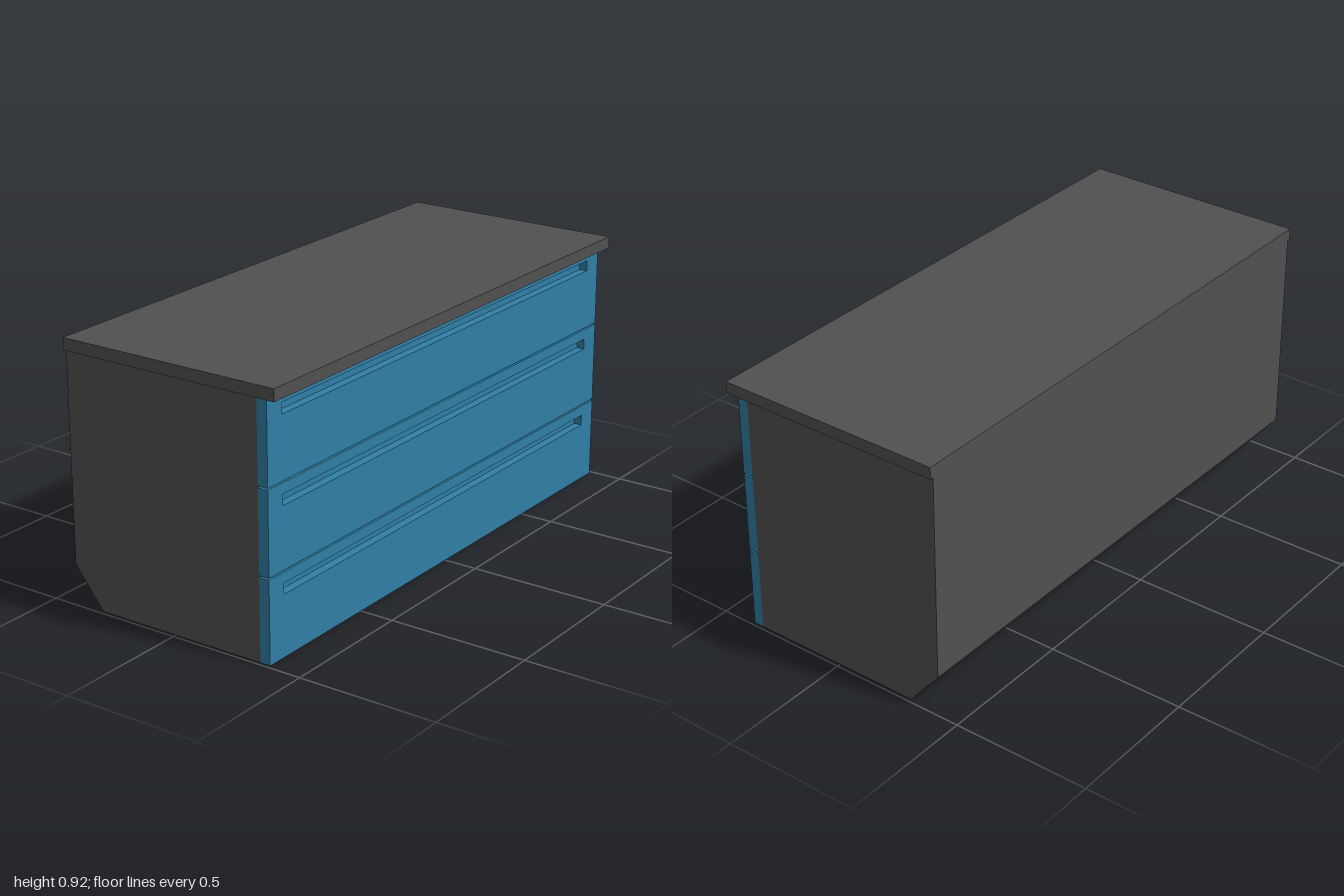
import * as THREE from 'three';

const dark = new THREE.MeshStandardMaterial({ color: 0x505050 });
const blue = new THREE.MeshStandardMaterial({ color: 0x317fa5 });

function box(name, x0, x1, y0, y1, length, material) {
  const mesh = new THREE.Mesh(new THREE.BoxGeometry(x1 - x0, y1 - y0, length), material);
  mesh.position.set((x0 + x1) / 2, (y0 + y1) / 2, 0);
  mesh.name = name;
  return mesh;
}

function rectangle(path, w, y0, y1) {
  path.moveTo(-w, y0);
  path.lineTo(w, y0);
  path.lineTo(w, y1);
  path.lineTo(-w, y1);
  path.closePath();
  return path;
}

// Drawer front: a slotted face on a thin backing, so the grip is a recess
function drawer(name, y0, y1, slotY) {
  const group = new THREE.Group();
  group.name = name;
  const shape = rectangle(new THREE.Shape(), 0.988, y0, y1);
  shape.holes.push(rectangle(new THREE.Path(), 0.912, slotY, slotY + 0.038));
  const geometry = new THREE.ExtrudeGeometry(shape, { depth: 0.03, bevelEnabled: false });
  geometry.rotateY(Math.PI / 2);
  const face = new THREE.Mesh(geometry, blue);
  face.position.x = 0.348;
  face.name = name + 'Face';
  group.add(face, box(name + 'Backing', 0.34, 0.348, y0, y1, 1.976, blue));
  return group;
}

export function createModel() {
  const model = new THREE.Group();
  model.name = 'drawerCabinet';

  // Cabinet body with a chamfered lower rear edge
  const profile = new THREE.Shape([
    [-0.303, 0], [0.34, 0], [0.34, 0.88], [-0.416, 0.88], [-0.416, 0.14],
  ].map(([x, y]) => new THREE.Vector2(x, y)));
  const bodyGeometry = new THREE.ExtrudeGeometry(profile, { depth: 1.976, bevelEnabled: false });
  bodyGeometry.translate(0, 0, -0.988);
  const body = new THREE.Mesh(bodyGeometry, dark);
  body.name = 'cabinetBody';
  model.add(body);

  // Overhanging worktop
  model.add(box('worktop', -0.416, 0.416, 0.88, 0.922, 2, dark));

  // Three drawers with open gaps between them
  model.add(drawer('lowerDrawer', 0, 0.29, 0.215));
  model.add(drawer('middleDrawer', 0.296, 0.586, 0.511));
  model.add(drawer('upperDrawer', 0.592, 0.88, 0.808));

  return model;
}
